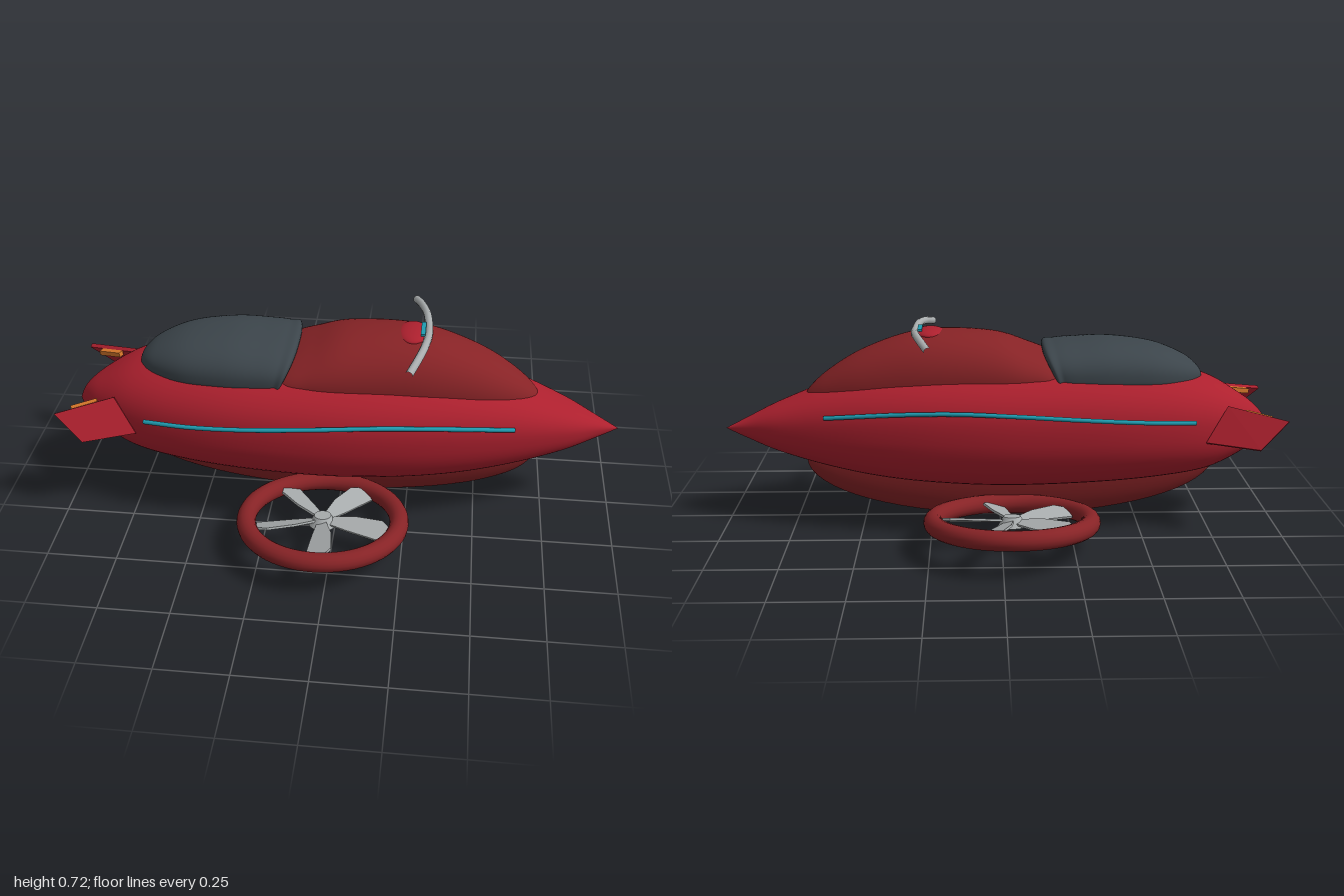
import * as THREE from 'three';
import { mergeVertices } from 'three/addons/utils/BufferGeometryUtils.js';
import { ConvexGeometry } from 'three/addons/geometries/ConvexGeometry.js';

const mat = (name, color) => {
  const m = new THREE.MeshStandardMaterial({ color });
  m.name = name;
  return m;
};
const V = (x, y, z) => new THREE.Vector3(x, y, z);

// Smooth hull along x. Each station is [x, centre y, height above, depth below, half width].
function loft(stations, power, lean = 0, steps = 80, sides = 56) {
  const a = new THREE.CatmullRomCurve3(stations.map(s => V(s[0], s[1], s[4])), false, 'catmullrom');
  const b = new THREE.CatmullRomCurve3(stations.map(s => V(s[2], s[3], 0)), false, 'catmullrom');
  const round = v => Math.sign(v) * Math.pow(Math.abs(v), 2 / power);
  const pos = [], index = [];
  for (let i = 0; i <= steps; i++) {
    const t = i / steps, p = a.getPoint(t), q = b.getPoint(t);
    for (let j = 0; j < sides; j++) {
      const ang = (j / sides) * Math.PI * 2, sn = round(Math.sin(ang));
      const dy = sn * Math.max(0, sn > 0 ? q.x : q.y);
      pos.push(p.x + lean * t ** 4 * dy, p.y + dy, round(Math.cos(ang)) * Math.max(0, p.z));
      if (i === steps) continue;
      const k = (j + 1) % sides, r = i * sides, n = r + sides;
      index.push(r + j, n + j, n + k, r + j, n + k, r + k);
    }
  }
  let g = new THREE.BufferGeometry();
  g.setAttribute('position', new THREE.Float32BufferAttribute(pos, 3));
  g.setIndex(index);
  g = mergeVertices(g, 1e-5);
  g.computeVertexNormals();
  return g;
}

const tube = (points, radius) =>
  new THREE.TubeGeometry(new THREE.CatmullRomCurve3(points.map(p => V(...p))), 60, radius, 10);

export function createModel() {
  const model = new THREE.Group();
  const red = mat('bodyRed', 0xad202e), darkRed = mat('darkRed', 0x872326);
  const charcoal = mat('seatCharcoal', 0x3c454b), silver = mat('silver', 0xa9adae);
  const cyan = mat('cyanTrim', 0x1f9db2), orange = mat('orangeLight', 0xd9792b);
  const add = (name, geo, material, parent = model) => {
    const mesh = new THREE.Mesh(geo, material);
    mesh.name = name;
    parent.add(mesh);
    return mesh;
  };

  // Main hull, tail to nose
  add('hull', loft([
    [-0.98, 0.35, 0, 0, 0],
    [-0.95, 0.353, 0.055, 0.045, 0.045],
    [-0.88, 0.362, 0.105, 0.1, 0.115],
    [-0.75, 0.375, 0.165, 0.17, 0.19],
    [-0.58, 0.39, 0.192, 0.212, 0.243],
    [-0.35, 0.4, 0.203, 0.24, 0.278],
    [-0.05, 0.4, 0.205, 0.25, 0.287],
    [0.2, 0.4, 0.195, 0.243, 0.268],
    [0.42, 0.393, 0.175, 0.215, 0.228],
    [0.62, 0.382, 0.135, 0.165, 0.172],
    [0.8, 0.368, 0.08, 0.1, 0.105],
    [0.92, 0.357, 0.033, 0.042, 0.043],
    [1, 0.35, 0, 0, 0],
  ], 2.35), red);

  // Slim keel under the hull
  const keel = add('keel', new THREE.SphereGeometry(1, 48, 32), darkRed);
  keel.scale.set(0.75, 0.222, 0.075);
  keel.position.set(-0.04, 0.23, 0);

  // Raised front cowl
  add('cowl', loft([
    [-0.32, 0.53, 0, 0, 0],
    [-0.29, 0.535, 0.04, 0.04, 0.1],
    [-0.2, 0.545, 0.075, 0.06, 0.18],
    [-0.1, 0.55, 0.112, 0.07, 0.195],
    [0.02, 0.55, 0.152, 0.08, 0.196],
    [0.2, 0.545, 0.17, 0.08, 0.182],
    [0.34, 0.53, 0.168, 0.08, 0.165],
    [0.5, 0.505, 0.134, 0.07, 0.132],
    [0.62, 0.48, 0.086, 0.05, 0.088],
    [0.69, 0.465, 0.037, 0.03, 0.042],
    [0.71, 0.46, 0, 0, 0],
  ], 2.2), darkRed);

  // Padded seat
  add('seat', loft([
    [-0.73, 0.54, 0, 0, 0],
    [-0.715, 0.545, 0.03, 0.03, 0.055],
    [-0.66, 0.55, 0.068, 0.05, 0.115],
    [-0.55, 0.56, 0.1, 0.06, 0.168],
    [-0.4, 0.565, 0.115, 0.07, 0.193],
    [-0.28, 0.568, 0.108, 0.07, 0.197],
    [-0.22, 0.57, 0.1, 0.06, 0.194],
    [-0.19, 0.572, 0.086, 0.05, 0.18],
    [-0.185, 0.575, 0, 0, 0],
  ], 2.5, 0.8), charcoal);

  // Handlebar, its mount and display strip
  add('handlebar', tube([
    [0.25, 0.692, 0.26], [0.275, 0.707, 0.19], [0.295, 0.713, 0.11], [0.305, 0.706, 0],
    [0.295, 0.713, -0.11], [0.275, 0.707, -0.19], [0.25, 0.692, -0.26],
  ], 0.014), silver);
  const mount = add('handlebarMount', new THREE.SphereGeometry(1, 24, 16), red);
  mount.scale.set(0.055, 0.02, 0.075);
  mount.position.set(0.25, 0.702, 0);
  const strip = add('displayStrip', new THREE.BoxGeometry(0.016, 0.008, 0.085), cyan);
  strip.position.set(0.286, 0.718, 0);

  // Fan blade outline
  const outline = new THREE.Shape([[0.03, -0.018], [0.11, -0.045], [0.21, -0.055], [0.245, -0.03],
    [0.232, 0.035], [0.1, 0.026], [0.03, 0.018]].map(p => new THREE.Vector2(...p)));
  const blade = new THREE.ExtrudeGeometry(outline, { depth: 0.008, bevelEnabled: false });
  blade.translate(0, 0, -0.004).rotateX(Math.PI / 2 + 0.3);

  for (const s of [1, -1]) {
    const side = s > 0 ? 'left' : 'right';

    // Tilted lift fan
    const fan = new THREE.Group();
    fan.name = side + 'Fan';
    fan.position.set(-0.034, 0.107, s * 0.328);
    fan.rotation.x = -s * 0.135;
    model.add(fan);
    add(side + 'FanRing', new THREE.TorusGeometry(0.272, 0.034, 16, 64).rotateX(Math.PI / 2), darkRed, fan);
    add(side + 'FanHub', new THREE.CylinderGeometry(0.03, 0.05, 0.035, 20), silver, fan);
    const start = s > 0 ? 1.57 : 0.09;
    for (let k = 0; k < 5; k++) {
      add(side + 'FanBlade', blade, silver, fan).rotation.y = -(start + (k * Math.PI * 2) / 5);
    }

    // Side trim line
    add(side + 'Trim', tube([
      [-0.67, 0.435, 0.258], [-0.5, 0.446, 0.29], [-0.3, 0.459, 0.304], [-0.05, 0.472, 0.295],
      [0.15, 0.475, 0.272], [0.35, 0.464, 0.237], [0.62, 0.435, 0.174],
    ].map(([x, y, z]) => [x, y, z * s]), 0.008), cyan);

    // Slanted tail fin with a light on its inner face
    const corners = [[-1, 0.43, 0.235], [-0.8, 0.465, 0.16], [-0.72, 0.345, 0.205], [-0.9, 0.335, 0.265]];
    const plate = corners.flatMap(([x, y, z]) => [1, -1].map(d =>
      V(x + d * 0.0015, y + d * 0.004, (z + d * 0.007) * s)));
    add(side + 'TailFin', new ConvexGeometry(plate), red);
    const light = add(side + 'TailLight', new THREE.BoxGeometry(0.095, 0.018, 0.022), orange);
    light.position.set(-0.905, 0.435, s * 0.18);
    light.rotation.set(0, s * 0.36, 0.17);
  }
  return model;
}
